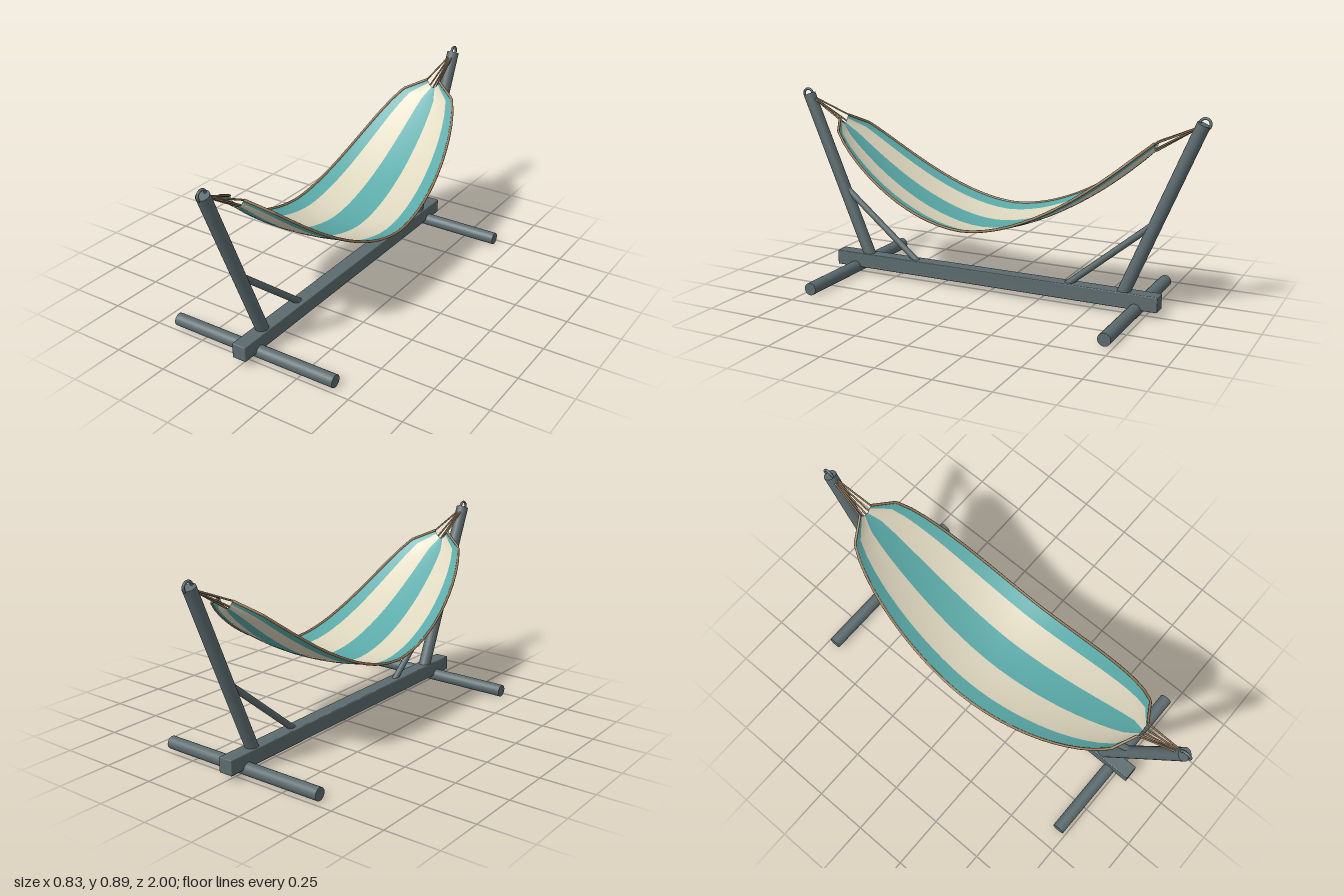
import * as THREE from 'three';
import { RoundedBoxGeometry } from 'three/addons/geometries/RoundedBoxGeometry.js';

const V = (x, y, z) => new THREE.Vector3(x, y, z);
const LENGTH = 0.77; // half length of the cloth
const STEPS = 28;

// Point on the cloth: u runs across (-1..1), t runs along (-1..1)
function clothPoint(u, t) {
  const a = Math.min(1, Math.abs(t));
  const width = 0.034 + 0.248 * Math.pow(1 - a * a, 0.45);
  return V(u * width, 0.323 + 0.405 * Math.pow(a, 1.8) + 0.036 * u * u, t * LENGTH);
}

export function createModel() {
  const model = new THREE.Group();
  const material = (name, color, side = THREE.FrontSide) => {
    const m = new THREE.MeshStandardMaterial({ color, side });
    m.name = name;
    return m;
  };
  const steel = material('slate steel', 0x5c6b6e);
  const rope = material('tan rope', 0x94795a);
  const teal = material('teal cloth', 0x5aaaa9, THREE.DoubleSide);
  const cream = material('cream cloth', 0xddd6be, THREE.DoubleSide);

  const add = (name, geometry, mat) => {
    const mesh = new THREE.Mesh(geometry, mat);
    mesh.name = name;
    model.add(mesh);
    return mesh;
  };
  // Round bar between two points
  const bar = (name, a, b, radius, mat, sides = 24) => {
    const mesh = add(name, new THREE.CylinderGeometry(radius, radius, a.distanceTo(b), sides), mat);
    mesh.position.copy(a).add(b).multiplyScalar(0.5);
    mesh.quaternion.setFromUnitVectors(V(0, 1, 0), b.clone().sub(a).normalize());
    return mesh;
  };

  // Base beam
  add('baseBeam', new RoundedBoxGeometry(0.068, 0.07, 1.62, 2, 0.004), steel).position.y = 0.066;

  // Feet, posts, braces, rings and ropes at both ends
  for (const s of [1, -1]) {
    const end = s > 0 ? 'front' : 'back';
    bar(end + 'Foot', V(-0.413, 0.029, 0.71 * s), V(0.413, 0.029, 0.71 * s), 0.029, steel);
    bar(end + 'Post', V(0, 0.07, 0.637 * s), V(0, 0.855, 0.965 * s), 0.029, steel);
    bar(end + 'Brace', V(0, 0.085, 0.375 * s), V(0, 0.415, 0.775 * s), 0.015, steel, 16);

    const ring = add(end + 'Ring', new THREE.TorusGeometry(0.023, 0.006, 10, 28), steel);
    ring.rotation.y = Math.PI / 2;
    ring.position.set(0, 0.857, 0.971 * s);

    for (const u of [-1, -0.5, 0, 0.5, 1]) {
      bar(end + 'Rope', clothPoint(u, s), V(u * 0.006, 0.845, 0.953 * s), 0.004, rope, 8);
    }
  }

  // Striped cloth: rows run along the length, grouped into stripes
  const rows = 16;
  const cloth = new THREE.PlaneGeometry(2, 2, STEPS, rows);
  const pos = cloth.attributes.position;
  for (let i = 0; i < pos.count; i++) {
    const p = clothPoint(pos.getY(i), pos.getX(i));
    pos.setXYZ(i, p.x, p.y, p.z);
  }
  // Rows are turned so that the upper face is the front
  const index = cloth.index.array;
  const probe = V(0, 0, 0);
  cloth.computeVertexNormals();
  probe.fromBufferAttribute(cloth.attributes.normal, Math.floor(pos.count / 2));
  if (probe.y < 0) {
    for (let i = 0; i < index.length; i += 3) {
      [index[i], index[i + 1]] = [index[i + 1], index[i]];
    }
    cloth.computeVertexNormals();
  }
  let start = 0;
  [2, 4, 4, 4, 2].forEach((n, i) => {
    cloth.addGroup(start, n * STEPS * 6, i % 2);
    start += n * STEPS * 6;
  });
  add('stripedCloth', cloth, [teal, cream]);

  // Rope binding along both long edges
  for (const u of [-1, 1]) {
    const path = new THREE.CurvePath();
    for (let i = 0; i < STEPS; i++) {
      path.add(new THREE.LineCurve3(
        clothPoint(u, -1 + (2 * i) / STEPS),
        clothPoint(u, -1 + (2 * (i + 1)) / STEPS)));
    }
    add(u > 0 ? 'leftBinding' : 'rightBinding', new THREE.TubeGeometry(path, 112, 0.006, 8), rope);
  }

  return model;
}
